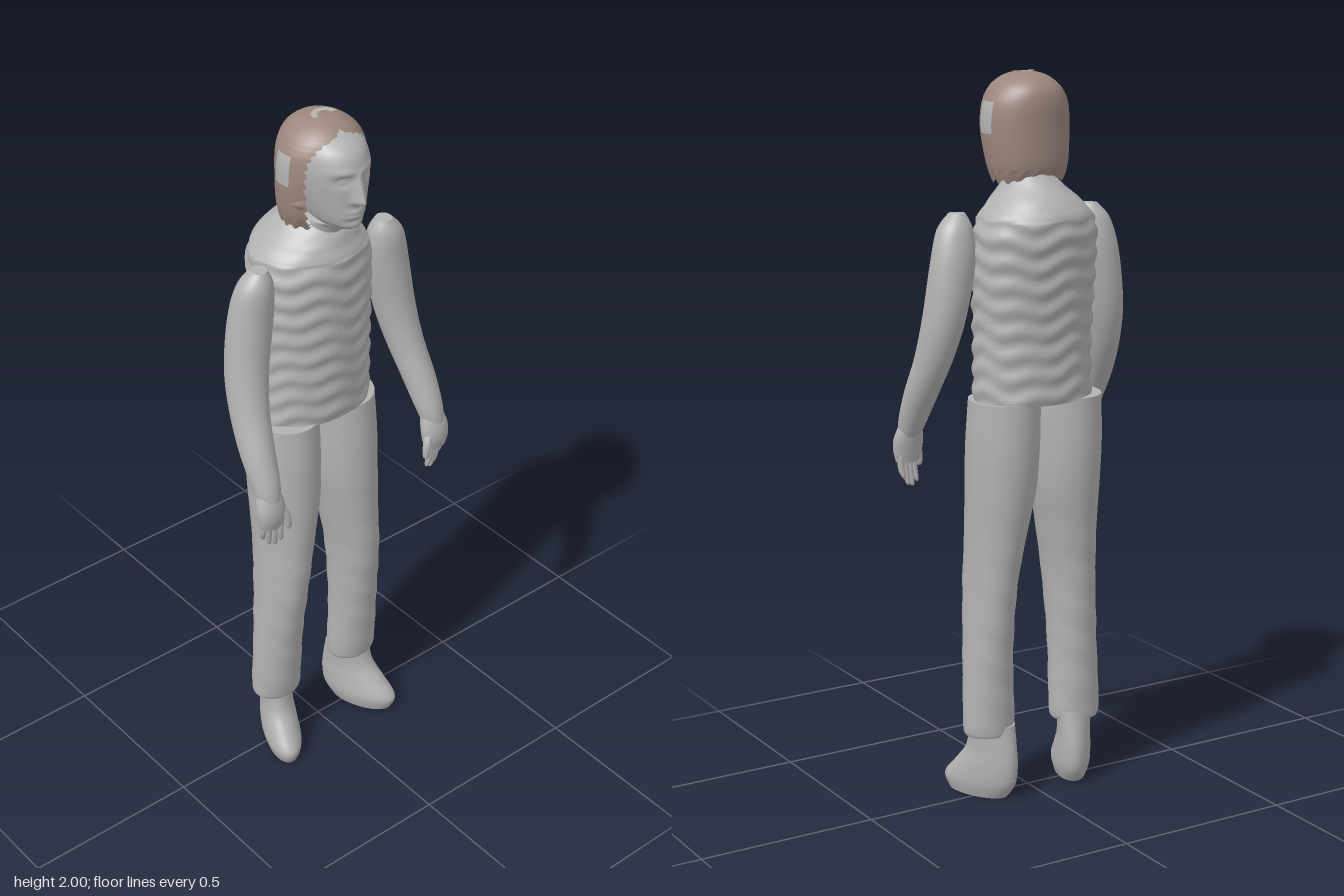
import * as THREE from 'three';

const grey = new THREE.MeshStandardMaterial({ color: 0xb2b2b2 });
grey.name = 'plain grey';
const brown = new THREE.MeshStandardMaterial({ color: 0x9c877e, side: THREE.DoubleSide });
brown.name = 'hair brown';

// Smooth value through section rows at t in 0..1 (Catmull-Rom on every column)
function sample(rows, t) {
  const f = t * (rows.length - 1);
  const i = Math.min(Math.floor(f), rows.length - 2);
  const u = f - i;
  const at = (k) => rows[Math.max(0, Math.min(rows.length - 1, k))];
  return rows[0].map((_, c) => {
    const [a, b, d, e] = [at(i - 1)[c], at(i)[c], at(i + 1)[c], at(i + 2)[c]];
    return 0.5 * (2 * b + (d - a) * u + (2 * a - 5 * b + 4 * d - e) * u * u + (3 * b - a - 3 * d + e) * u ** 3);
  });
}

// Elliptical loft, rows from bottom to top: [y, centreX, centreZ, radiusX, radiusZ, ...extra].
// span(row, t) gives the angle range of an open sheet (0 is the front); bend moves each point.
function loft(rows, { side = 1, steps = 6, segs = 32, span = null, bend = null, cap = true, from = 0, to = 1 } = {}) {
  const n = (rows.length - 1) * steps;
  const ring = [];
  for (let i = 0; i <= n; i++) {
    const t = from + ((to - from) * i) / n;
    ring.push({ s: sample(rows, t), t, k: 1 });
  }
  if (cap && !span) {
    ring.unshift({ ...ring[0], k: 0 }, { ...ring[0] });
    const last = ring[ring.length - 1];
    ring.push({ ...last }, { ...last, k: 0 });
  }
  const cols = span ? segs + 1 : segs;
  const pos = [];
  const index = [];
  ring.forEach(({ s, t, k }, i) => {
    const [a0, a1] = span ? span(s, t, i) : [0, Math.PI * 2];
    for (let j = 0; j < cols; j++) {
      const a = a0 + ((a1 - a0) * j) / segs;
      const p = new THREE.Vector3(
        s[1] * side + k * Math.max(0, s[3]) * Math.sin(a), s[0], s[2] + k * Math.max(0, s[4]) * Math.cos(a));
      if (bend && k) bend(p, a);
      pos.push(p.x, p.y, p.z);
    }
    if (i === 0) return;
    for (let j = 0; j < segs; j++) {
      const j2 = (j + 1) % cols;
      const [p, q] = [(i - 1) * cols, i * cols];
      index.push(p + j, p + j2, q + j2, p + j, q + j2, q + j);
    }
  });
  const g = new THREE.BufferGeometry();
  g.setAttribute('position', new THREE.Float32BufferAttribute(pos, 3));
  g.setIndex(index);
  g.computeVertexNormals();
  return g;
}

const bell = (d, w) => Math.exp(-(d * d) / (w * w));

// Nose, brow, eyes, lips and chin pushed out of the front of the head
function faceBend(p, a) {
  if (Math.cos(a) < 0.2) return;
  const x = p.x - 0.008;
  const y = p.y;
  const ax = Math.abs(x);
  const nose = y > 1.815 ? Math.max(0, 1 - (y - 1.815) / 0.085) : Math.max(0, 1 - (1.815 - y) / 0.015);
  p.z += 0.034 * nose * bell(x, 0.007 + 0.009 * nose);
  p.z -= 0.013 * bell(ax - 0.037, 0.019) * bell(y - 1.873, 0.014);
  p.z += 0.008 * bell(ax - 0.037, 0.011) * bell(y - 1.872, 0.006);
  p.z += 0.005 * bell(ax - 0.035, 0.03) * bell(y - 1.896, 0.01);
  p.z += 0.007 * bell(x, 0.026) * (bell(y - 1.784, 0.006) + bell(y - 1.77, 0.006));
  p.z -= 0.004 * bell(x, 0.03) * bell(y - 1.756, 0.007);
}

const torso = [
  [1.125, 0.003, -0.03, 0.173, 0.12], [1.3, 0.003, -0.03, 0.172, 0.125],
  [1.48, 0.003, -0.038, 0.175, 0.137], [1.6, 0.003, -0.045, 0.168, 0.145],
  [1.655, 0.004, -0.045, 0.132, 0.128], [1.7, 0.008, -0.03, 0.088, 0.1], [1.735, 0.01, -0.02, 0.062, 0.075]];
const head = [
  [1.64, 0.01, -0.01, 0.055, 0.06], [1.715, 0.01, 0.01, 0.056, 0.07], [1.73, 0.01, 0.05, 0.045, 0.083],
  [1.755, 0.01, 0.04, 0.065, 0.103], [1.82, 0.01, 0.033, 0.084, 0.112], [1.89, 0.01, 0.026, 0.094, 0.122],
  [1.94, 0.01, 0.014, 0.086, 0.117], [1.97, 0.01, 0, 0.06, 0.085], [1.985, 0.01, 0, 0.02, 0.03]];
// The last column is half the face opening, in degrees
const hair = [
  [1.715, 0.006, -0.012, 0.1, 0.075, 42], [1.76, 0.006, -0.008, 0.114, 0.095, 50],
  [1.85, 0.008, 0, 0.123, 0.106, 55], [1.915, 0.008, 0, 0.117, 0.108, 53],
  [1.955, 0.008, 0, 0.097, 0.1, 38], [1.98, 0.008, 0, 0.07, 0.076, 3],
  [1.994, 0.008, 0, 0.04, 0.045, 0], [2, 0.008, 0, 0.001, 0.001, 0]];
const leg = [
  [0.185, 0.14, -0.012, 0.069, 0.057], [0.22, 0.14, -0.01, 0.075, 0.062], [0.4, 0.138, -0.002, 0.069, 0.073],
  [0.6, 0.128, 0.003, 0.069, 0.092], [0.75, 0.114, -0.004, 0.079, 0.102], [0.88, 0.103, -0.013, 0.092, 0.112],
  [1.0, 0.1, -0.02, 0.096, 0.115], [1.13, 0.097, -0.026, 0.094, 0.11]];
const foot = [
  [0, 0.142, 0.03, 0.046, 0.088], [0.04, 0.142, 0.023, 0.057, 0.107], [0.09, 0.142, 0, 0.056, 0.09],
  [0.14, 0.141, -0.016, 0.052, 0.069], [0.21, 0.14, -0.018, 0.055, 0.052]];
const arm = [
  [1.02, 0.287, 0.148, 0.031, 0.03], [1.07, 0.284, 0.128, 0.039, 0.042], [1.15, 0.279, 0.088, 0.046, 0.052],
  [1.25, 0.266, 0.042, 0.051, 0.058], [1.36, 0.25, 0.014, 0.058, 0.06], [1.5, 0.228, 0.006, 0.062, 0.056],
  [1.59, 0.217, 0.012, 0.05, 0.046], [1.635, 0.208, 0.016, 0.022, 0.024]];
const palm = [
  [0.945, 0.288, 0.157, 0.034, 0.02], [0.975, 0.287, 0.157, 0.042, 0.027],
  [1.01, 0.287, 0.152, 0.043, 0.03], [1.045, 0.286, 0.143, 0.034, 0.028]];

export function createModel() {
  const model = new THREE.Group();
  model.name = 'standingFigure';
  const add = (name, geometry, material = grey) => {
    const mesh = new THREE.Mesh(geometry, material);
    mesh.name = name;
    model.add(mesh);
    return mesh;
  };

  // Quilted vest with horizontal ripples and a collar dipping at the front
  add('vest', loft(torso, {
    steps: 16, segs: 56,
    bend: (p, a) => {
      const r = 0.0035 * Math.sin(p.y * 105 + 1.3 * Math.sin(a * 3) + Math.sin(a * 7 + p.y * 9));
      const fade = p.y < 1.62 ? 1 : 0.25;
      p.x += r * fade * Math.sin(a);
      p.z += r * fade * Math.cos(a);
      if (p.y > 1.66) p.y -= 0.4 * (p.y - 1.66) * Math.max(0, Math.cos(a));
    },
  }));

  // Head, hair shell and the bare patches on it
  add('head', loft(head, { steps: 12, segs: 96, bend: faceBend }));
  const ragged = (s, t, i) => {
    const edge = (k) => THREE.MathUtils.degToRad(Math.max(0, s[5] + (s[5] > 5 ? 3 * Math.sin(i * 2.1 + k) : 0)));
    return [edge(0), Math.PI * 2 - edge(2)];
  };
  add('hair', loft(hair, {
    steps: 8, segs: 64, span: ragged,
    bend: (p, a) => { if (p.y < 1.74) p.y += 0.006 * Math.sin(a * 17); },
  }), brown);
  const overHair = hair.map(([y, x, z, rx, rz]) => [y, x, z, rx + 0.002, rz + 0.002]);
  for (const side of [1, -1]) {
    const mid = side * Math.PI * 0.51;
    add('barePatch', loft(overHair, { segs: 8, steps: 1, from: 0.27, to: 0.455, span: () => [mid - 0.24, mid + 0.24] }));
  }
  const crown = add('crownPatch', new THREE.RingGeometry(0.02, 0.036, 20, 1, 0, Math.PI));
  crown.rotation.x = -Math.PI / 2;
  crown.position.set(0.012, 1.9995, 0.012);
  const lock = add('strayLock', new THREE.ConeGeometry(0.014, 0.05, 5), brown);
  lock.rotation.z = 1.2;
  lock.position.set(-0.115, 1.805, 0.05);

  // Limbs, once for each side
  for (const side of [1, -1]) {
    const legMesh = add('trouserLeg', loft(leg, {
      side, steps: 8, segs: 36,
      bend: (p, a) => { p.z += 0.002 * Math.sin(p.y * 60 + a * 2) * bell(p.y - 0.45, 0.25); },
    }));
    const shoe = loft(foot, { side });
    shoe.applyMatrix4(new THREE.Matrix4().makeShear(0, 0, 0, 0, side * 0.34, 0));
    const shoeMesh = add('shoe', shoe);
    legMesh.position.x = shoeMesh.position.x = -0.008;

    add('arm', loft(arm, { side }));
    add('palm', loft(palm, { side, segs: 20 }));
    // Four fingers curling slightly inward
    [0.885, 0.875, 0.88, 0.9].forEach((tip, i) => {
      const x = 0.264 + i * 0.016;
      const z = 0.164 - i * 0.005;
      add('finger', loft([
        [tip, x - 0.006, z - 0.006, 0.003, 0.003], [tip + 0.01, x - 0.004, z - 0.004, 0.007, 0.008],
        [0.93, x, z, 0.009, 0.01], [0.97, x, z, 0.01, 0.011]], { side, segs: 10, steps: 3 }));
    });
    add('thumb', loft([
      [0.925, 0.243, 0.172, 0.004, 0.004], [0.935, 0.243, 0.172, 0.009, 0.01],
      [0.97, 0.248, 0.17, 0.012, 0.012], [1.005, 0.265, 0.158, 0.013, 0.013]], { side, segs: 10, steps: 3 }));
  }
  return model;
}
